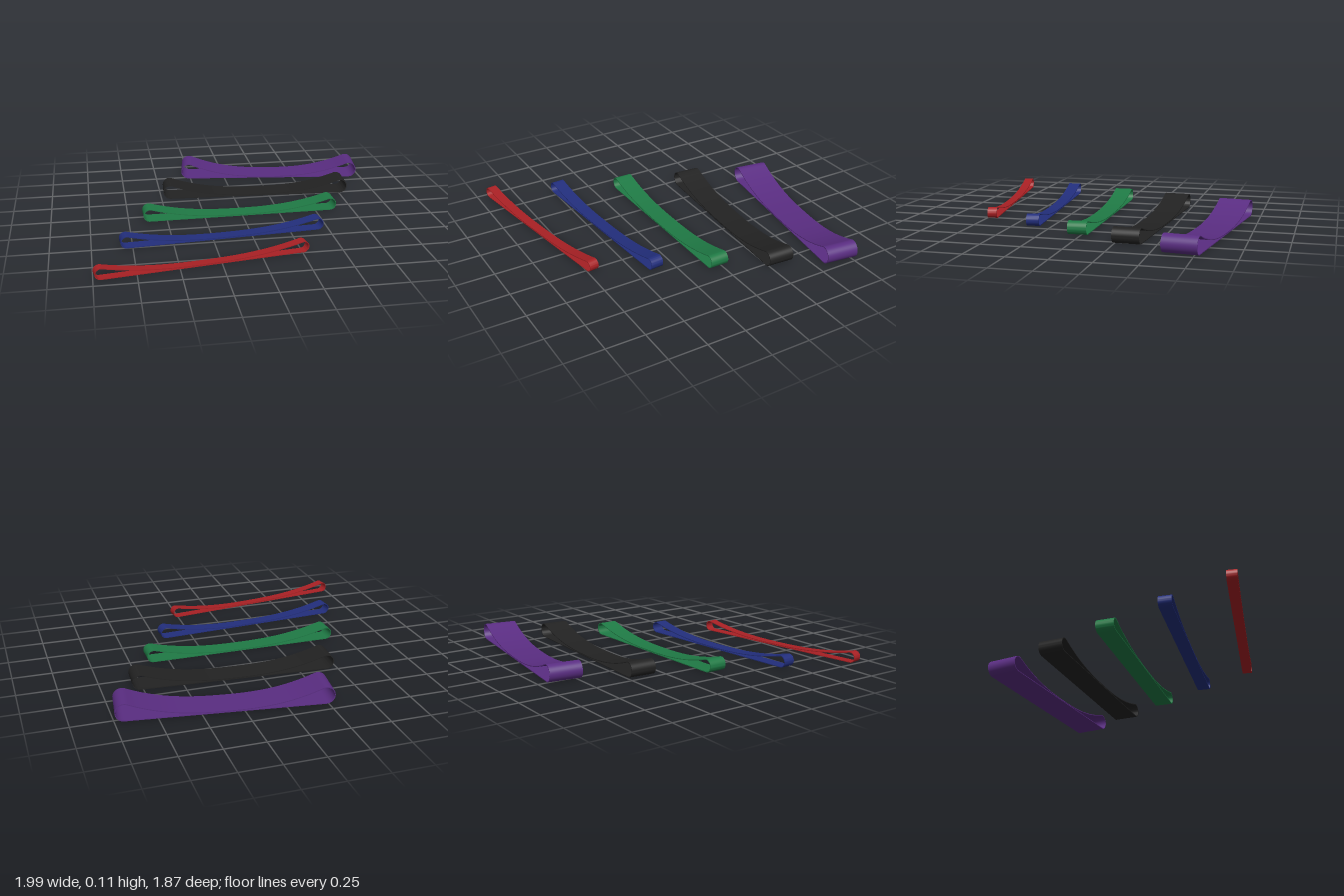
import * as THREE from 'three';
import { toCreasedNormals } from 'three/addons/utils/BufferGeometryUtils.js';

const HALF = 0.648; // half length of every band
const THICK = 0.005;

// Closed outline of a slack band: flat underneath, round ends, sagging top.
function outline(height, inset) {
  const r = height / 2, ri = r - inset, cx = HALF - r;
  const lean = Math.atan(2.5 * height / cx);
  const points = [];
  // right end, from the underside round to just past the crest
  for (let i = 0; i <= 20; i++) {
    const a = -Math.PI / 2 + (Math.PI + lean) * i / 20;
    points.push(new THREE.Vector2(cx + ri * Math.cos(a), r + ri * Math.sin(a)));
  }
  // sagging top, from the right crest to the middle
  const start = points[points.length - 1];
  const low = 0.0115 - inset;
  for (let i = 1; i <= 20; i++) {
    const u = 1 - i / 20;
    points.push(new THREE.Vector2(start.x * u, low + (start.y - low) * Math.pow(u, 2.5)));
  }
  // mirrored left half
  const left = points.slice(0, -1).reverse().map(p => new THREE.Vector2(-p.x, p.y));
  return points.concat(left);
}

function bandGeometry(height, width) {
  const shape = new THREE.Shape(outline(height, 0));
  shape.holes.push(new THREE.Path(outline(height, THICK)));
  const geometry = new THREE.ExtrudeGeometry(shape, { depth: width, bevelEnabled: false });
  geometry.translate(0, 0, -width / 2);
  return toCreasedNormals(geometry, 0.6);
}

export function createModel() {
  const group = new THREE.Group();
  // name, colour, centre x, centre z, width, height, turn in degrees
  const bands = [
    ['purple', 0x5a2d82, 0.34, -0.75, 0.212, 0.11, -7.5],
    ['black', 0x222222, 0.165, -0.361, 0.168, 0.097, -3.5],
    ['green', 0x1f7a45, -0.007, 0.028, 0.12, 0.084, 0.5],
    ['blue', 0x222e7c, -0.181, 0.417, 0.083, 0.077, 4.5],
    ['red', 0xa82024, -0.353, 0.806, 0.062, 0.071, 8.5],
  ];
  for (const [name, color, x, z, width, height, turn] of bands) {
    const material = new THREE.MeshStandardMaterial({ color });
    material.name = name;
    const band = new THREE.Mesh(bandGeometry(height, width), material);
    band.name = name + 'Band';
    band.position.set(x, 0, z);
    band.rotation.y = THREE.MathUtils.degToRad(turn);
    group.add(band);
  }
  return group;
}
